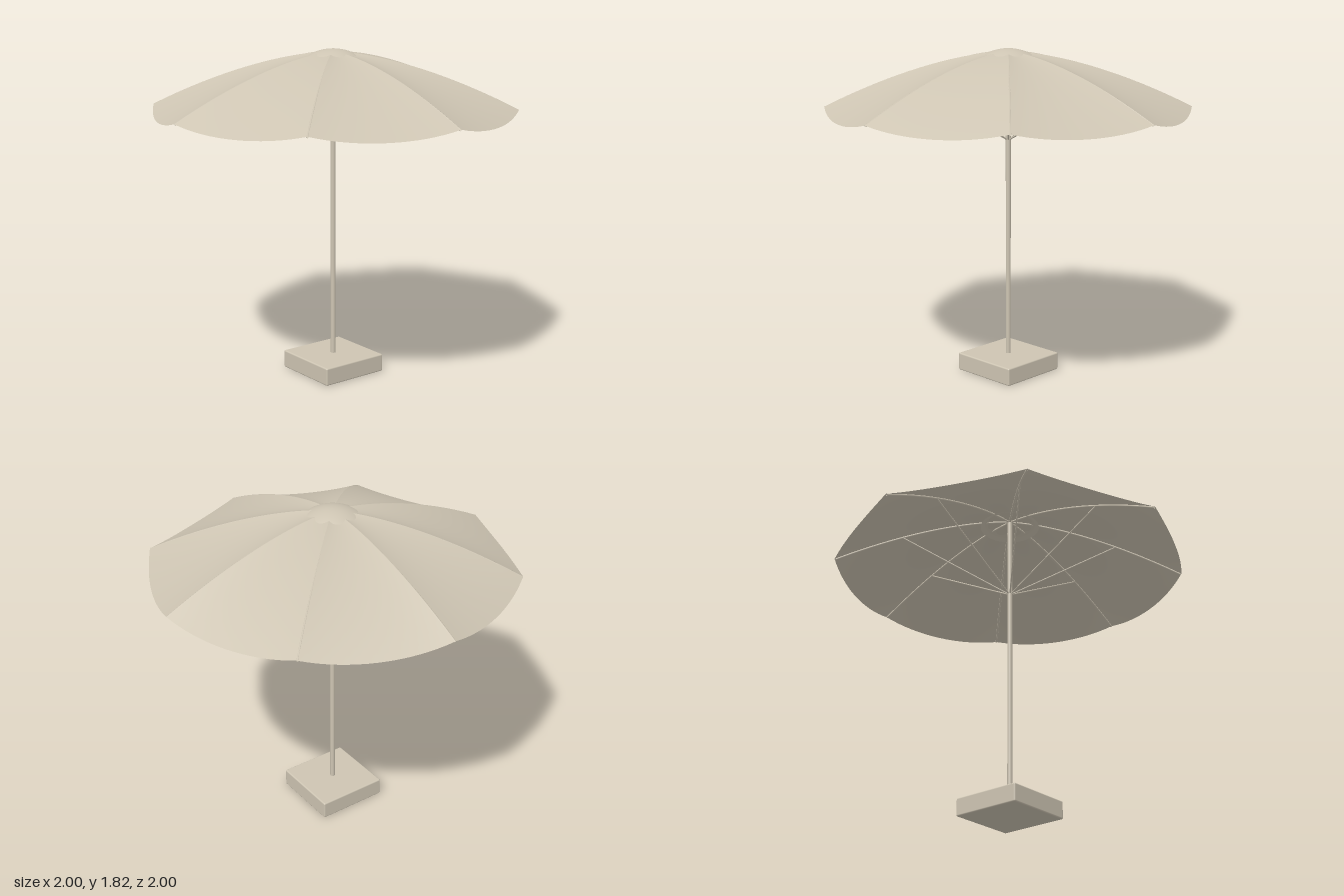
import * as THREE from 'three';
import { RoundedBoxGeometry } from 'three/addons/geometries/RoundedBoxGeometry.js';

const PANELS = 8;
const STEP = (Math.PI * 2) / PANELS;

// Height of a rib at radius r
const ribY = (r) => 1.805 - 0.3 * Math.pow(r, 1.65);

// One cloth panel between two ribs, sagging and bulging in the middle
function panelGeometry() {
  const g = new THREE.PlaneGeometry(1, 1, 16, 24);
  const p = g.attributes.position;
  const cos = Math.cos(STEP), sin = Math.sin(STEP);
  for (let i = 0; i < p.count; i++) {
    const u = p.getX(i) + 0.5;
    const t = 0.03 + 0.97 * (p.getY(i) + 0.5);
    const mid = 4 * u * (1 - u);
    let x = 1 - u + u * cos;
    let z = u * sin;
    const len = Math.hypot(x, z);
    const r = (len + 0.038 * mid) * t;
    x *= r / len;
    z *= r / len;
    p.setXYZ(i, x, ribY(r) - 0.06 * mid * t, z);
  }
  // Turn the faces so that their front is on top
  const index = g.index.array;
  const a = new THREE.Vector3().fromBufferAttribute(p, index[0]);
  const b = new THREE.Vector3().fromBufferAttribute(p, index[1]);
  const c = new THREE.Vector3().fromBufferAttribute(p, index[2]);
  if (b.sub(a).cross(c.sub(a)).y < 0) {
    for (let i = 0; i < index.length; i += 3) {
      [index[i], index[i + 1]] = [index[i + 1], index[i]];
    }
  }
  g.computeVertexNormals();
  return g;
}

export function createModel() {
  const group = new THREE.Group();
  const beige = new THREE.MeshStandardMaterial({ color: 0xcdc4b2, side: THREE.DoubleSide });
  beige.name = 'beige';

  const add = (name, geometry, angle = 0) => {
    const mesh = new THREE.Mesh(geometry, beige);
    mesh.name = name;
    mesh.rotation.y = angle;
    group.add(mesh);
    return mesh;
  };

  // Base and pole
  add('base', new RoundedBoxGeometry(0.4, 0.1, 0.4, 3, 0.008)).position.y = 0.05;
  add('pole', new THREE.CylinderGeometry(0.014, 0.014, 1.71, 20)).position.y = 0.945;

  // Shallow dome over the middle of the canopy
  const dome = [];
  for (let i = 0; i <= 10; i++) {
    const r = 0.17 * (1 - i / 10);
    dome.push(new THREE.Vector2(r, 1.82 - 1.9 * r * r));
  }
  add('topCap', new THREE.LatheGeometry(dome, 48));

  // Rib under the canopy and strut from the pole to the rib
  const ribPoints = [];
  for (let i = 0; i <= 10; i++) {
    const r = 0.01 + 0.985 * (i / 10);
    ribPoints.push(new THREE.Vector3(r, ribY(r) - 0.006, 0));
  }
  const rib = new THREE.TubeGeometry(new THREE.CatmullRomCurve3(ribPoints), 30, 0.006, 8);
  const strut = new THREE.TubeGeometry(
    new THREE.LineCurve3(new THREE.Vector3(0, 1.32, 0), new THREE.Vector3(0.62, 1.664, 0)),
    1, 0.004, 8
  );
  const panel = panelGeometry();

  for (let i = 0; i < PANELS; i++) {
    add('canopyPanel', panel, i * STEP);
    add('rib', rib, i * STEP);
    add('strut', strut, i * STEP);
  }
  return group;
}
